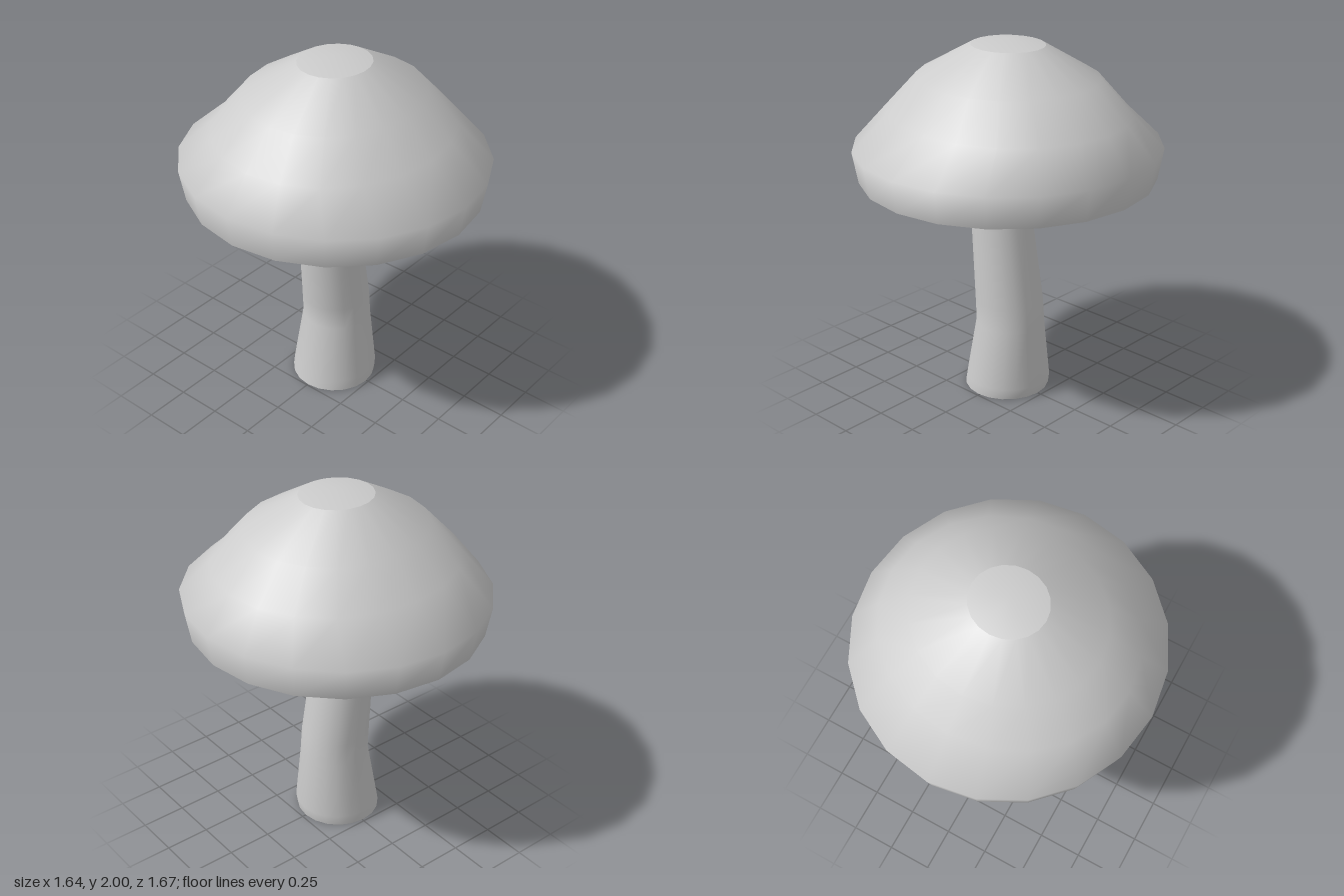
import * as THREE from 'three';

const SIDES = 20;
const material = new THREE.MeshStandardMaterial({ color: 0xcccccc });

// Ring: centre x, y, z and radii rx, rz
function ringPoints({ x = 0, y, z = 0, rx, rz }) {
  return Array.from({ length: SIDES }, (_, i) => {
    const a = (i / SIDES) * Math.PI * 2;
    return [x + rx * Math.cos(a), y, z - rz * Math.sin(a)];
  });
}

function surface(points, index) {
  const geometry = new THREE.BufferGeometry();
  geometry.setAttribute('position', new THREE.Float32BufferAttribute(points.flat(), 3));
  geometry.setIndex(index);
  geometry.computeVertexNormals();
  return geometry;
}

// Smooth wall through the rings, listed from bottom to top
function loft(rings) {
  const index = [];
  for (let r = 0; r < rings.length - 1; r++) {
    for (let i = 0; i < SIDES; i++) {
      const j = (i + 1) % SIDES;
      const a = r * SIDES + i, b = r * SIDES + j;
      index.push(a, b, b + SIDES, a, b + SIDES, a + SIDES);
    }
  }
  return surface(rings.flatMap(ringPoints), index);
}

// Fan closing a ring, with its own normals so the rim stays sharp
function fan(ring, centreY, up) {
  const index = [];
  for (let i = 0; i < SIDES; i++) {
    const j = (i + 1) % SIDES;
    index.push(SIDES, ...(up ? [i, j] : [j, i]));
  }
  return surface([...ringPoints(ring), [ring.x ?? 0, centreY, ring.z ?? 0]], index);
}

function part(name, geometry) {
  const mesh = new THREE.Mesh(geometry, material);
  mesh.name = name;
  return mesh;
}

export function createModel() {
  const model = new THREE.Group();
  model.name = 'mushroom';

  // Slightly oval cap, with a hollowed underside and a shallow crown
  const capRings = [
    { y: 1.257, rx: 0.792, rz: 0.805 },
    { y: 1.43, rx: 0.822, rz: 0.837 },
    { y: 1.615, rx: 0.678, rz: 0.622 },
    { y: 1.8, rx: 0.502, rz: 0.467 },
    { y: 1.967, rx: 0.203, rz: 0.19 },
  ];
  const cap = new THREE.Group();
  cap.name = 'cap';
  cap.add(
    part('capDome', loft(capRings)),
    part('capCrown', fan(capRings[4], 2, true)),
    part('capUnderside', fan(capRings[0], 1.43, false)),
  );

  // Crooked stem, its top hidden in the cap
  const stemRings = [
    { x: -0.008, y: 0, rx: 0.234, rz: 0.236 },
    { x: 0.002, y: 0.06, rx: 0.233, rz: 0.235 },
    { x: 0.017, y: 0.395, rx: 0.191, rz: 0.19 },
    { x: 0.008, y: 0.53, rx: 0.19, rz: 0.188 },
    { x: -0.051, y: 1.03, rx: 0.167, rz: 0.168 },
    { x: -0.062, y: 1.15, z: 0.012, rx: 0.162, rz: 0.154 },
    { x: -0.058, y: 1.28, z: 0.008, rx: 0.146, rz: 0.144 },
    { x: -0.042, y: 1.42, z: -0.008, rx: 0.135, rz: 0.135 },
  ];
  const stem = new THREE.Group();
  stem.name = 'stem';
  stem.add(
    part('stemWall', loft(stemRings)),
    part('stemBase', fan(stemRings[0], 0, false)),
  );

  model.add(cap, stem);
  return model;
}
